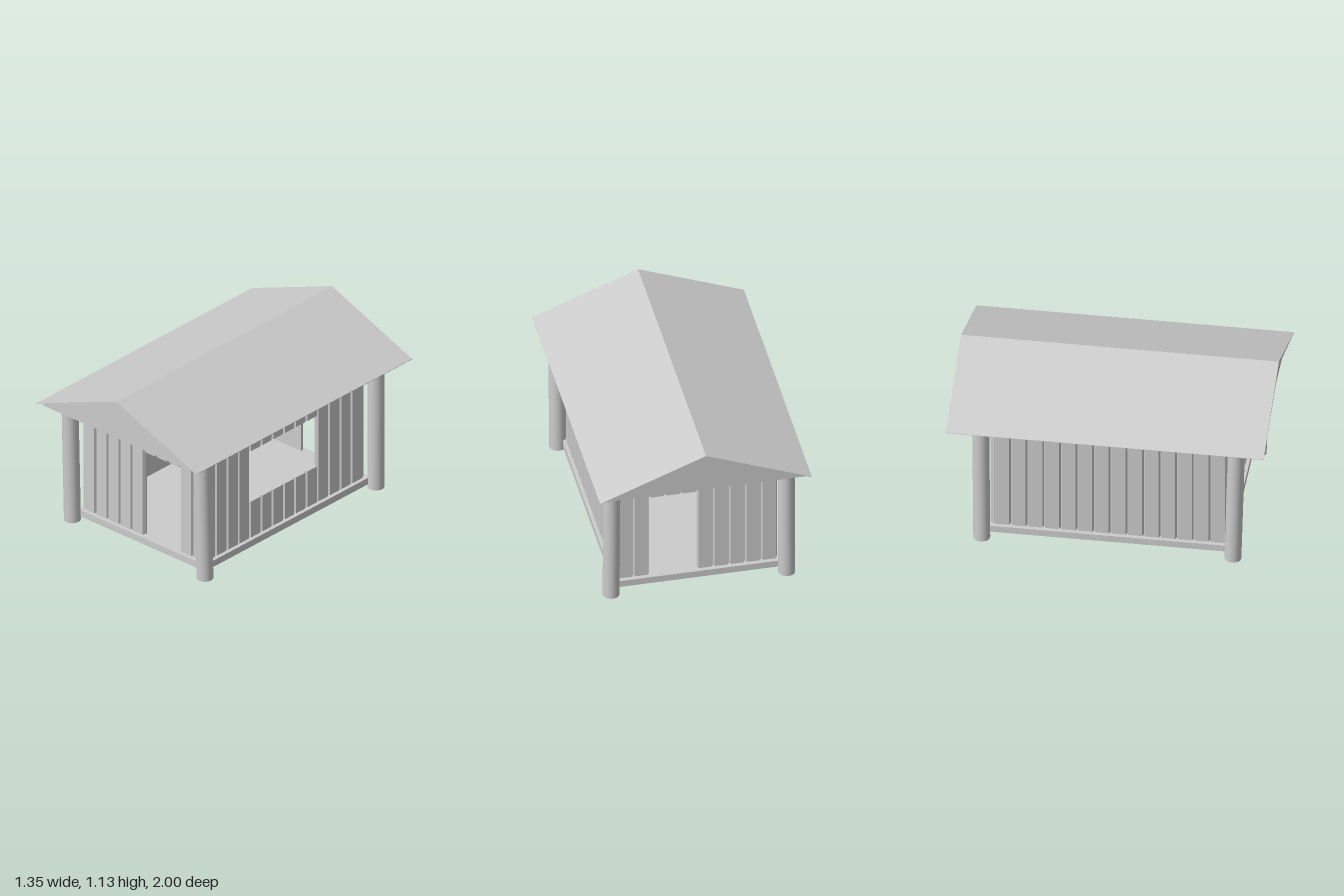
import * as THREE from 'three';

const material = new THREE.MeshStandardMaterial({ color: 0xcccccc });
const FLOOR_TOP = 0.07, WALL_BOTTOM = 0.075, WALL_TOP = 0.845;

function mesh(name, geometry) {
  const m = new THREE.Mesh(geometry, material);
  m.name = name;
  return m;
}

function shapeOf(points) {
  return new THREE.Shape(points.map(([x, y]) => new THREE.Vector2(x, y)));
}

// Upright board, flat inside, with bevelled outer edges; outside faces +z
function board(width, y0, y1) {
  const h = width / 2, bevel = 0.009, t = 0.028;
  const section = shapeOf([
    [-h, 0], [h, 0], [h, -0.006], [h - bevel, -t], [-h + bevel, -t], [-h, -0.006],
  ]);
  const g = new THREE.ExtrudeGeometry(section, { depth: y1 - y0, bevelEnabled: false });
  g.rotateX(-Math.PI / 2);
  g.translate(0, y0, 0);
  return g;
}

// Row of boards; boards from..to (inclusive) are cut for an opening
function wall(name, start, pitch, count, opening) {
  const group = new THREE.Group();
  group.name = name;
  for (let i = 0; i < count; i++) {
    const cut = opening && i >= opening.from && i <= opening.to;
    const spans = cut
      ? [[WALL_BOTTOM, opening.bottom], [opening.top, WALL_TOP]]
      : [[WALL_BOTTOM, WALL_TOP]];
    for (const [y0, y1] of spans) {
      if (y1 <= y0) continue;
      const b = mesh('wallBoard', board(pitch, y0, y1));
      b.position.x = start + (i + 0.5) * pitch;
      group.add(b);
    }
  }
  return group;
}

// Round post between two slightly offset ends
function post(bottom, top) {
  const a = new THREE.Vector3(...bottom), b = new THREE.Vector3(...top);
  const dir = b.clone().sub(a);
  const p = mesh('cornerPost', new THREE.CylinderGeometry(0.053, 0.053, dir.length(), 32));
  p.position.copy(a).add(b).multiplyScalar(0.5);
  p.quaternion.setFromUnitVectors(new THREE.Vector3(0, 1, 0), dir.normalize());
  return p;
}

// Profile in x and y, extruded along z and centred
function prism(name, points, length) {
  const g = new THREE.ExtrudeGeometry(shapeOf(points), { depth: length, bevelEnabled: false });
  g.translate(0, 0, -length / 2);
  return mesh(name, g);
}

export function createModel() {
  const model = new THREE.Group();
  model.name = 'cabin';

  // Floor slab
  const floor = mesh('floor', new THREE.BoxGeometry(1.07, 0.045, 1.53));
  floor.position.y = FLOOR_TOP - 0.0225;
  model.add(floor);

  // Walls: aligned doorways front and back, window on the left side
  const door = { bottom: 0, top: 0.67 };
  const front = wall('frontWall', -0.51, 0.102, 10, { ...door, from: 5, to: 7 });
  front.position.z = 0.715;
  const back = wall('backWall', -0.51, 0.102, 10, { ...door, from: 2, to: 4 });
  back.rotation.y = Math.PI;
  back.position.z = -0.715;
  const left = wall('leftWall', -0.743, 0.1045, 14, { from: 4, to: 9, bottom: 0.33, top: 0.69 });
  left.rotation.y = Math.PI / 2;
  left.position.x = 0.487;
  const right = wall('rightWall', -0.72, 0.1045, 14);
  right.rotation.y = -Math.PI / 2;
  right.position.x = -0.487;
  model.add(front, back, left, right);

  // Corner posts, the front ones leaning out a little
  for (const s of [1, -1]) {
    model.add(post([s * 0.558, 0, 0.79], [s * 0.558, 0.85, 0.813]));
    model.add(post([s * 0.56, 0, -0.79], [s * 0.556, 0.85, -0.797]));
  }

  // Solid gable block and ceiling
  model.add(prism('gableBlock', [
    [-0.65, 0.845], [0.65, 0.845], [0.65, 0.866], [0, 1.1], [-0.65, 0.866],
  ], 1.92));

  // Roof covering, thin at the eaves
  model.add(prism('roof', [
    [-0.675, 0.863], [0, 1.105], [0.675, 0.863], [0.675, 0.866], [0, 1.132], [-0.675, 0.866],
  ], 2));

  return model;
}
